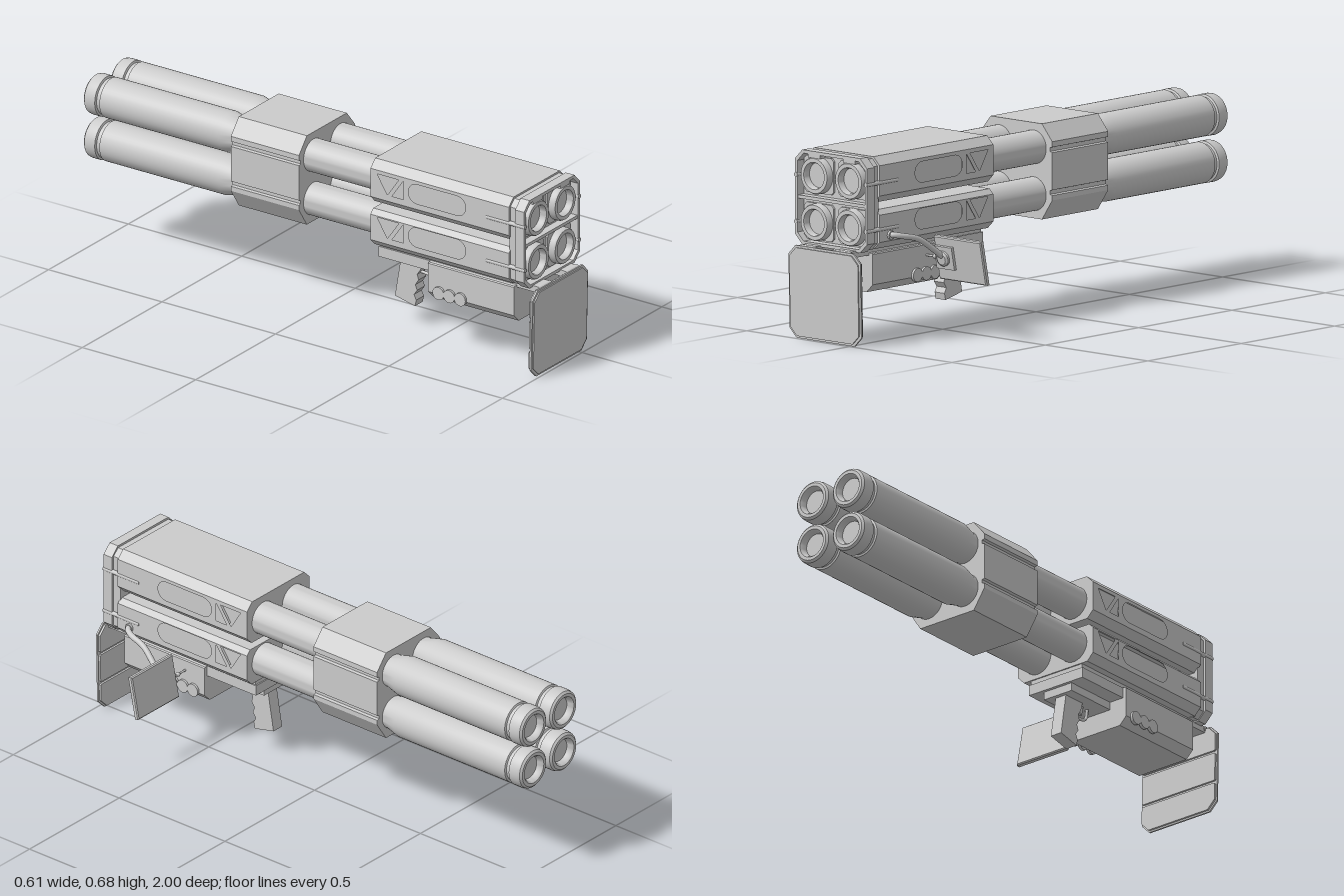
import * as THREE from 'three';
import { toCreasedNormals } from 'three/addons/utils/BufferGeometryUtils.js';

const grey = new THREE.MeshStandardMaterial({ color: 0xcccccc });
const V = (x, y, z) => new THREE.Vector3(x, y, z);

function add(parent, name, geo, x = 0, y = 0, z = 0) {
  const m = new THREE.Mesh(geo, grey);
  m.name = name;
  m.position.set(x, y, z);
  parent.add(m);
  return m;
}
const box = (w, h, d) => new THREE.BoxGeometry(w, h, d);
const path = (pts) => new THREE.Shape(pts.map(([a, b]) => new THREE.Vector2(a, b)));

// Profile in x/y, extruded from z0 to z1
function extrudeZ(pts, z0, z1, holes = []) {
  const s = path(pts);
  s.holes = holes.map(path);
  return new THREE.ExtrudeGeometry(s, { depth: z1 - z0, bevelEnabled: false }).translate(0, 0, z0);
}
// Profile in z/y, extruded from x0 to x1
function extrudeX(pts, x0, x1, holes = []) {
  const flip = (p) => p.map(([z, y]) => [-z, y]);
  return extrudeZ(flip(pts), x0, x1, holes.map(flip)).rotateY(Math.PI / 2);
}
// Rectangle with cut corners: half width, bottom, top, bottom cut, top cut
const octagon = (w, b, t, cb, ct = cb) => [
  [-w + cb, b], [w - cb, b], [w, b + cb], [w, t - ct], [w - ct, t], [-w + ct, t], [-w, t - ct], [-w, b + cb],
];
// Lathe around the z axis, profile given as [radius, z] from back to front
const latheZ = (pts, n = 40) => toCreasedNormals(
  new THREE.LatheGeometry(pts.map(([r, z]) => new THREE.Vector2(r, z)), n).rotateX(Math.PI / 2), 0.6);

// Horizontal stadium outline in z/y
function stadium(z0, z1, y, r) {
  const pts = [];
  for (let i = 0; i <= 10; i++) {
    const a = -Math.PI / 2 + (Math.PI * i) / 10;
    pts.push([z1 - r + r * Math.cos(a), y + r * Math.sin(a)]);
  }
  for (let i = 0; i <= 10; i++) {
    const a = Math.PI / 2 + (Math.PI * i) / 10;
    pts.push([z0 + r + r * Math.cos(a), y + r * Math.sin(a)]);
  }
  return pts;
}

function shroud(parent, b, t, mid, ct) {
  const g = new THREE.Group();
  g.name = 'shroud';
  parent.add(g);
  const w = 0.175, f = 0.152, cb = 0.027, z0 = 0.28, z1 = 0.89;
  // Core with recessed flanks
  add(g, 'shroudCore', extrudeZ([
    [-w + cb, b], [w - cb, b], [w, b + cb], [f, b + cb], [f, t - ct], [w, t - ct],
    [w - ct, t], [-w + ct, t], [-w, t - ct], [-f, t - ct], [-f, b + cb], [-w, b + cb]], z0, z1));
  // Side plates with long slot and triangular windows
  const lo = mid - 0.036, hi = mid + 0.036;
  const holes = [
    stadium(0.447, 0.7, mid, 0.038),
    [[0.425, lo], [0.425, hi], [0.375, lo]],
    [[0.405, hi], [0.31, hi], [0.355, lo]],
  ];
  for (const x0 of [f, -w]) {
    add(g, 'shroudSidePlate', extrudeX(
      [[z0, b + cb], [z1, b + cb], [z1, t - ct], [z0, t - ct]], x0, x0 + w - f, holes));
  }
}

export function createModel() {
  const model = new THREE.Group();
  model.name = 'launcher';
  const body = new THREE.Group();
  body.name = 'body';
  body.position.x = -0.128;
  model.add(body);

  // Four launch tubes with flared rear canisters and open muzzles
  const tube = latheZ([
    [0, -0.975], [0.044, -0.975], [0.048, -0.993], [0.054, -1], [0.066, -1], [0.074, -0.993], [0.077, -0.98],
    [0.077, -0.945], [0.069, -0.942], [0.069, -0.928], [0.076, -0.925], [0.076, -0.4], [0.062, -0.345],
    [0.062, 0.9], [0.068, 0.9], [0.068, 0.95], [0.064, 0.957], [0.05, 0.957], [0.046, 0.95], [0.046, 0.8],
    [0.04, 0.822], [0.03, 0.835], [0.016, 0.843], [0, 0.846]]);
  for (const x of [-0.084, 0.084]) for (const y of [0.425, 0.596]) add(body, 'launchTube', tube, x, y);

  // Upper and lower shrouds
  shroud(body, 0.517, 0.685, 0.604, 0.03);
  shroud(body, 0.347, 0.492, 0.433, 0.018);

  // Middle bracket with grooved sides
  const right = [[0.125, 0.335], [0.175, 0.41], [0.175, 0.428], [0.164, 0.431], [0.164, 0.445], [0.175, 0.448],
    [0.175, 0.585], [0.164, 0.588], [0.164, 0.602], [0.175, 0.605], [0.175, 0.625], [0.125, 0.685]];
  const left = right.map(([x, y]) => [-x, y]).reverse();
  add(body, 'middleBracket', extrudeZ([...right, ...left], -0.335, -0.035));

  // Front frame: recessed bulkhead and outer ring
  add(body, 'frontBulkhead', extrudeZ(octagon(0.165, 0.345, 0.678, 0.025), 0.885, 0.922));
  add(body, 'frontRing', extrudeZ(octagon(0.175, 0.34, 0.686, 0.034), 0.918, 0.957,
    [octagon(0.164, 0.352, 0.674, 0.03)]));
  add(body, 'frontCrossbar', box(0.33, 0.012, 0.034), 0, 0.512, 0.937);
  for (const s of [-1, 1]) {
    for (const y of [0.425, 0.596]) {
      add(body, 'muzzlePanel', extrudeZ(octagon(0.072, y - 0.067, y + 0.067, 0.012), 0.92, 0.93), s * 0.084);
      add(body, 'sideRod', new THREE.CylinderGeometry(0.008, 0.008, 0.17, 12).rotateX(Math.PI / 2), s * 0.17, y - 0.004, 0.875);
    }
    add(body, 'topLatch', box(0.058, 0.014, 0.03), s * 0.086, 0.668, 0.94);
    // Flap hinges
    add(body, 'hingeArm', box(0.07, 0.024, 0.1), s * 0.086, 0.333, 0.935);
    add(body, 'hingePin', new THREE.CylinderGeometry(0.01, 0.01, 0.075, 16).rotateZ(Math.PI / 2), s * 0.086, 0.336, 0.982);
  }

  // Folded-down front cover, slightly tilted, ribbed on its back
  const flap = new THREE.Group();
  flap.name = 'frontCover';
  flap.position.set(0, 0.002, 0.98);
  flap.rotation.x = 0.02;
  body.add(flap);
  add(flap, 'coverPlate', extrudeZ(octagon(0.175, 0, 0.34, 0.034), 0, 0.007));
  add(flap, 'coverFace', extrudeZ(octagon(0.167, 0.008, 0.332, 0.032), 0.006, 0.012));
  for (const [y0, y1, c0, c1] of [[0.006, 0.105, 0.032, 0.004], [0.115, 0.225, 0.004, 0.004], [0.235, 0.334, 0.004, 0.032]]) {
    add(flap, 'coverBackPanel', extrudeZ(octagon(0.17, y0, y1, c0, c1), -0.008, 0.001));
  }

  // Lower housing with chamfered belly, rail and grip mount
  add(body, 'lowerHousing', extrudeZ(octagon(0.14, 0.185, 0.33, 0.03, 0.004), 0.51, 0.888));
  add(body, 'housingSeat', box(0.24, 0.03, 0.6), 0, 0.337, 0.585);
  add(body, 'rearRail', box(0.25, 0.04, 0.24), 0, 0.31, 0.4);
  add(body, 'gripMount', box(0.13, 0.034, 0.225), 0, 0.277, 0.405);
  const button = new THREE.CylinderGeometry(0.025, 0.025, 0.012, 24).rotateZ(Math.PI / 2);
  for (const s of [-1, 1]) for (const z of [0.56, 0.607, 0.655]) add(body, 'sideButton', button, s * 0.143, 0.222, z);

  // Pistol grip with finger grooves
  add(body, 'grip', extrudeX([[0.405, 0.265], [0.31, 0.265], [0.282, 0.1], [0.37, 0.08], [0.376, 0.105], [0.366, 0.125],
    [0.38, 0.145], [0.372, 0.165], [0.386, 0.187], [0.38, 0.208], [0.395, 0.23]], -0.024, 0.024));
  const guard = new THREE.CatmullRomCurve3([V(0, 0.265, 0.458), V(0, 0.222, 0.45), V(0, 0.21, 0.425), V(0, 0.212, 0.38)]);
  add(body, 'triggerGuard', new THREE.TubeGeometry(guard, 16, 0.006, 8));
  add(body, 'trigger', box(0.012, 0.04, 0.012), 0, 0.245, 0.42).rotation.x = 0.25;

  // Tilted side display on a ball joint
  const display = new THREE.Group();
  display.name = 'sideDisplay';
  display.position.set(0.186, 0.29, 0.603);
  display.rotation.x = 0.2;
  model.add(display);
  add(display, 'displayPanel', new THREE.ExtrudeGeometry(
    path([[-0.111, -0.079], [0.111, -0.079], [0.111, 0.079], [-0.111, 0.079]]),
    { depth: 0.012, bevelSize: 0.004, bevelThickness: 0.004, bevelSegments: 1 }).translate(0, 0, -0.006));
  add(display, 'displayBox', box(0.086, 0.086, 0.012), -0.066, 0.006, 0.015);
  add(display, 'cableSocket', latheZ([[0.028, 0], [0.028, 0.012], [0.02, 0.018], [0, 0.018]], 24), -0.067, 0.005, 0.018);
  add(model, 'ballJoint', new THREE.SphereGeometry(0.009, 16, 12), 0.054, 0.288, 0.6);
  add(model, 'jointArm', new THREE.CylinderGeometry(0.004, 0.004, 0.09, 10).rotateZ(Math.PI / 2), 0.04, 0.288, 0.6);

  // Cable from body to display
  const cable = new THREE.CatmullRomCurve3([V(0.03, 0.395, 0.835), V(0.06, 0.396, 0.83), V(0.08, 0.39, 0.8),
    V(0.092, 0.372, 0.73), V(0.108, 0.33, 0.67), V(0.12, 0.297, 0.63)]);
  add(model, 'cable', new THREE.TubeGeometry(cable, 40, 0.011, 12));
  add(model, 'cablePlug', new THREE.CylinderGeometry(0.016, 0.016, 0.02, 20).rotateZ(Math.PI / 2), 0.046, 0.395, 0.833);

  return model;
}
